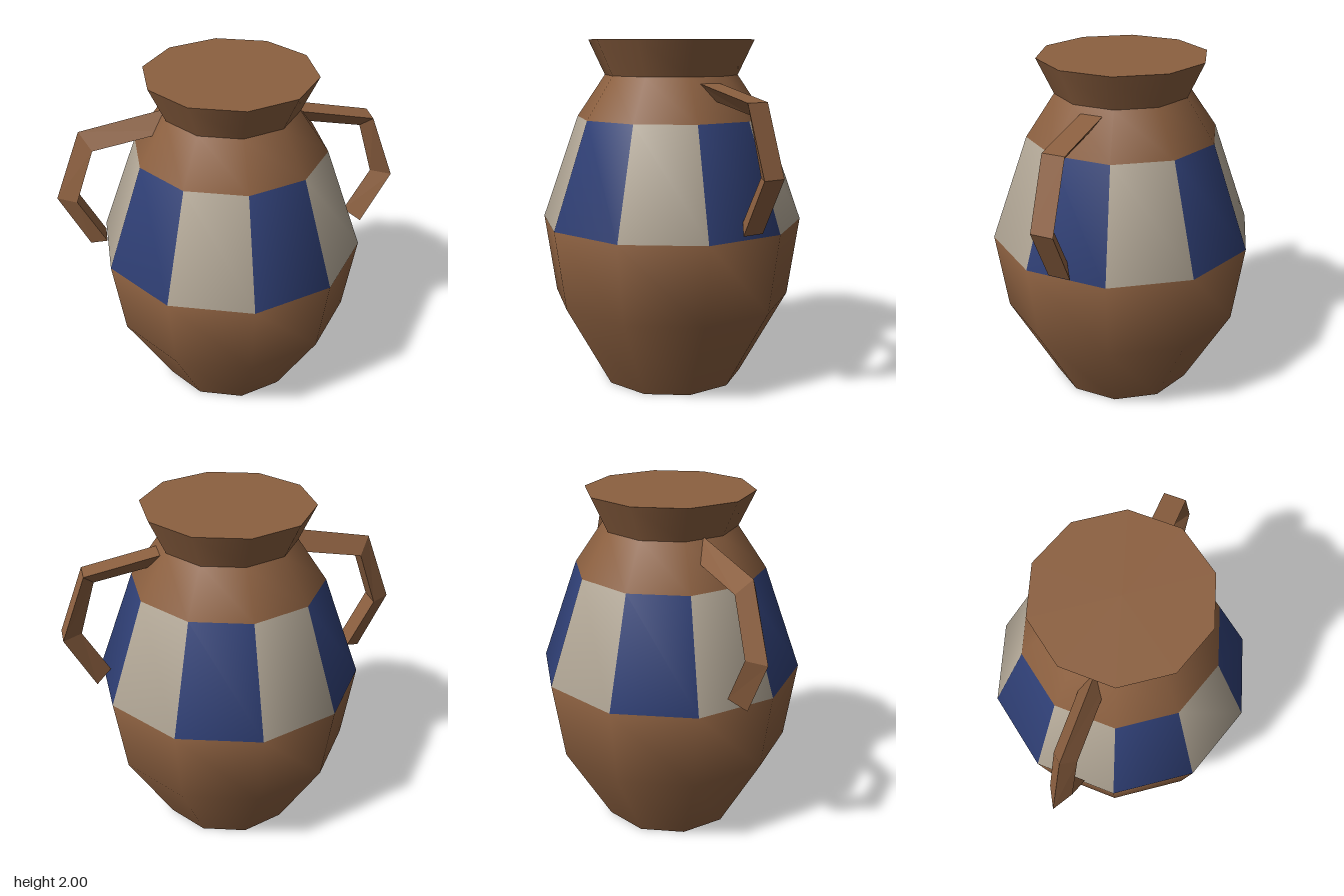
import * as THREE from 'three';

const SIDES = 10;
const CENTRE_X = 0.016;
const HANDLE_HALF_WIDTH = 0.064;

const clay = new THREE.MeshStandardMaterial({ color: 0x8c6040 });
const blue = new THREE.MeshStandardMaterial({ color: 0x2f3f75 });
const cream = new THREE.MeshStandardMaterial({ color: 0xb3a897 });
clay.name = 'clay';
blue.name = 'blue glaze';
cream.name = 'cream glaze';

function addMesh(parent, name, geometry, material) {
  const mesh = new THREE.Mesh(geometry, material);
  mesh.name = name;
  parent.add(mesh);
  return mesh;
}

function lathe(profile) {
  return new THREE.LatheGeometry(profile.map(([r, y]) => new THREE.Vector2(r, y)), SIDES);
}

// Ten-sided disc facing up or down, its corners in line with the lathe
function disc(radius, y, up) {
  const geometry = new THREE.CircleGeometry(radius, SIDES, Math.PI / 2);
  return geometry.rotateX(up ? -Math.PI / 2 : Math.PI / 2).translate(0, y, 0);
}

// Triangular bar: a ridge line at z = 0 and a flat face spanning the width
function handleGeometry(ridge, flat) {
  const w = HANDLE_HALF_WIDTH;
  const positions = [];
  const index = [];
  ridge.forEach(([x, y], i) => {
    const [fx, fy] = flat[i];
    positions.push(x, y, 0, fx, fy, w, fx, fy, -w);
  });
  for (let i = 0; i < ridge.length - 1; i++) {
    for (let k = 0; k < 3; k++) {
      const a = i * 3 + k;
      const b = i * 3 + (k + 1) % 3;
      index.push(a, a + 3, b, b, a + 3, b + 3);
    }
  }
  const e = (ridge.length - 1) * 3;
  index.push(0, 1, 2, e, e + 2, e + 1);
  const geometry = new THREE.BufferGeometry();
  geometry.setAttribute('position', new THREE.Float32BufferAttribute(positions, 3));
  geometry.setIndex(index);
  const faceted = geometry.toNonIndexed();
  faceted.computeVertexNormals();
  return faceted;
}

export function createModel() {
  const vase = new THREE.Group();
  vase.name = 'vase';

  const pot = new THREE.Group();
  pot.name = 'pot';
  pot.position.x = CENTRE_X;
  vase.add(pot);

  // Body, with alternating painted panels on the third row
  const profile = [[0.422, 0], [0.7, 0.5], [0.765, 0.96], [0.549, 1.56], [0.385, 1.8]];
  const body = lathe(profile);
  const rows = profile.length - 1;
  for (let i = 0; i < SIDES; i++) {
    for (let j = 0; j < rows; j++) {
      body.addGroup((i * rows + j) * 6, 6, j === 2 ? 1 + (i % 2) : 0);
    }
  }
  addMesh(pot, 'body', body, [clay, blue, cream]);

  // Flared neck, closed top and base
  addMesh(pot, 'neck', lathe([[0.385, 1.8], [0.479, 2]]), clay);
  addMesh(pot, 'lid', disc(0.479, 2, true), clay);
  addMesh(pot, 'base', disc(0.422, 0, false), clay);

  // The right handle has its ridge outside, the left one has it inside
  const rightHandle = handleGeometry(
    [[-0.3, 1.82], [-0.815, 1.715], [-0.97, 1.31], [-0.81, 0.985]],
    [[-0.3, 1.712], [-0.75, 1.625], [-0.86, 1.31], [-0.715, 1.032]]
  );
  const leftHandle = handleGeometry(
    [[0.32, 1.695], [0.765, 1.617], [0.858, 1.31], [0.715, 1.05]],
    [[0.32, 1.78], [0.82, 1.685], [0.965, 1.31], [0.805, 1.0]]
  );
  addMesh(vase, 'rightHandle', rightHandle, clay);
  addMesh(vase, 'leftHandle', leftHandle, clay);

  return vase;
}
